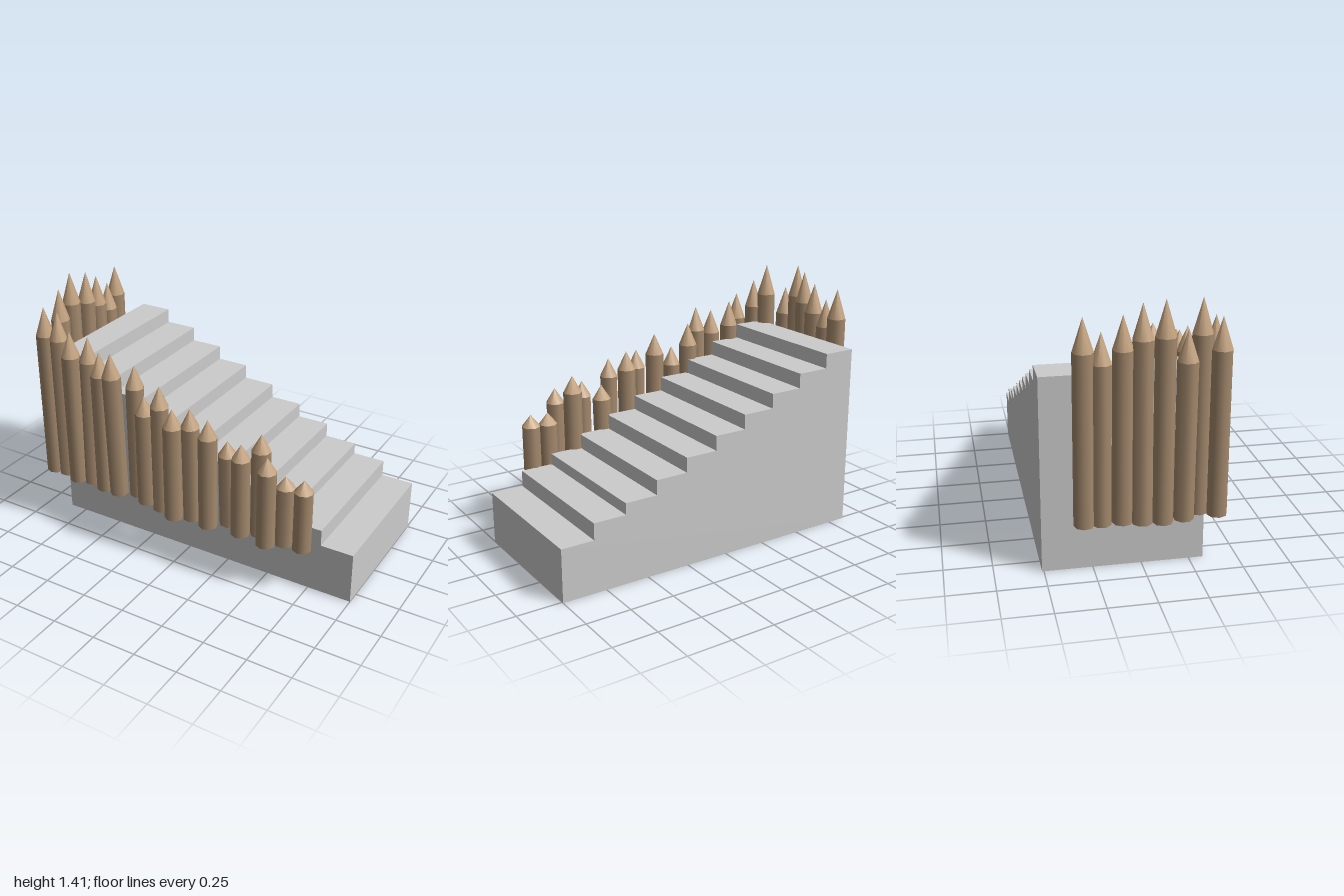
import * as THREE from 'three';

const STAKE_BASE = 0.27;
const STAKE_RADIUS = 0.053;
const SIDES = 8;

// Solid staircase: a stepped side profile extruded across its width
function createStairs() {
  const left = -0.855, right = 1, back = -0.51, front = 0.325, steps = 10;
  const run = (right - left) / steps;
  const heights = [0.295, 0.388];
  for (let i = 2; i < steps; i++) heights.push(0.452 + 0.0833 * (i - 2));

  const profile = new THREE.Shape();
  profile.moveTo(left, 0);
  profile.lineTo(right, 0);
  heights.forEach((y, i) => {
    profile.lineTo(right - i * run, y);
    profile.lineTo(right - (i + 1) * run, y);
  });
  profile.closePath();

  const geometry = new THREE.ExtrudeGeometry(profile, { depth: front - back, bevelEnabled: false });
  geometry.translate(0, 0, back);
  const stairs = new THREE.Mesh(geometry, new THREE.MeshStandardMaterial({ color: 0xcccccc }));
  stairs.name = 'stairs';
  return stairs;
}

// Pointed log: shaft plus a cone taking 16% of the height, with an optional lean
function createStake([x, z, tipY, footX = x, footZ = z], index, bark, cutWood) {
  const height = tipY - STAKE_BASE;
  const tipHeight = height * 0.16;
  const shaftHeight = height - tipHeight;
  const stake = new THREE.Group();
  stake.name = 'stake';

  const shaft = new THREE.Mesh(
    new THREE.CylinderGeometry(STAKE_RADIUS, STAKE_RADIUS, shaftHeight, SIDES), bark);
  shaft.name = 'stakeShaft';
  shaft.position.y = shaftHeight / 2;

  const point = new THREE.Mesh(
    new THREE.ConeGeometry(STAKE_RADIUS, tipHeight, SIDES, 1, true), cutWood);
  point.name = 'stakePoint';
  point.position.y = shaftHeight + tipHeight / 2;

  // Each log is turned a little differently about its own axis
  shaft.rotation.y = point.rotation.y = index * 0.37;
  stake.add(shaft, point);
  stake.position.set(footX, STAKE_BASE, footZ);
  stake.quaternion.setFromUnitVectors(
    new THREE.Vector3(0, 1, 0),
    new THREE.Vector3(x - footX, height, z - footZ).normalize());
  return stake;
}

// Stakes as [x, z, tip height, foot x, foot z]
const frontStakes = [
  [0.725, 0.37, 0.69], [0.62, 0.37, 0.685], [0.54, 0.43, 0.8],
  [0.465, 0.355, 0.88], [0.375, 0.41, 0.82], [0.27, 0.37, 0.79, 0.27, 0.35],
  [0.185, 0.43, 0.92], [0.07, 0.42, 0.95, 0.07, 0.408], [-0.02, 0.455, 0.94],
  [-0.125, 0.415, 1.03], [-0.235, 0.4, 0.94], [-0.325, 0.355, 1.08],
  [-0.43, 0.425, 1.155, -0.43, 0.4], [-0.525, 0.4, 1.13],
  [-0.63, 0.355, 1.18, -0.63, 0.375], [-0.72, 0.4, 1.21],
  [-0.825, 0.365, 1.29], [-0.91, 0.375, 1.305],
];
const sideStakes = [
  [-0.865, 0.288, 1.39], [-0.945, 0.198, 1.26, -0.925, 0.198], [-0.945, 0.087, 1.41],
  [-0.91, -0.015, 1.39, -0.935, -0.015], [-0.91, -0.11, 1.335],
  [-0.91, -0.215, 1.26], [-0.915, -0.303, 1.335],
];

export function createModel() {
  const model = new THREE.Group();
  model.name = 'palisadeStairs';
  model.add(createStairs());

  const bark = new THREE.MeshStandardMaterial({ color: 0xa58a6e });
  const cutWood = new THREE.MeshStandardMaterial({ color: 0xc4a37f });
  for (const [name, list] of [['frontPalisade', frontStakes], ['sidePalisade', sideStakes]]) {
    const row = new THREE.Group();
    row.name = name;
    list.forEach((stake, i) => row.add(createStake(stake, i, bark, cutWood)));
    model.add(row);
  }
  return model;
}
